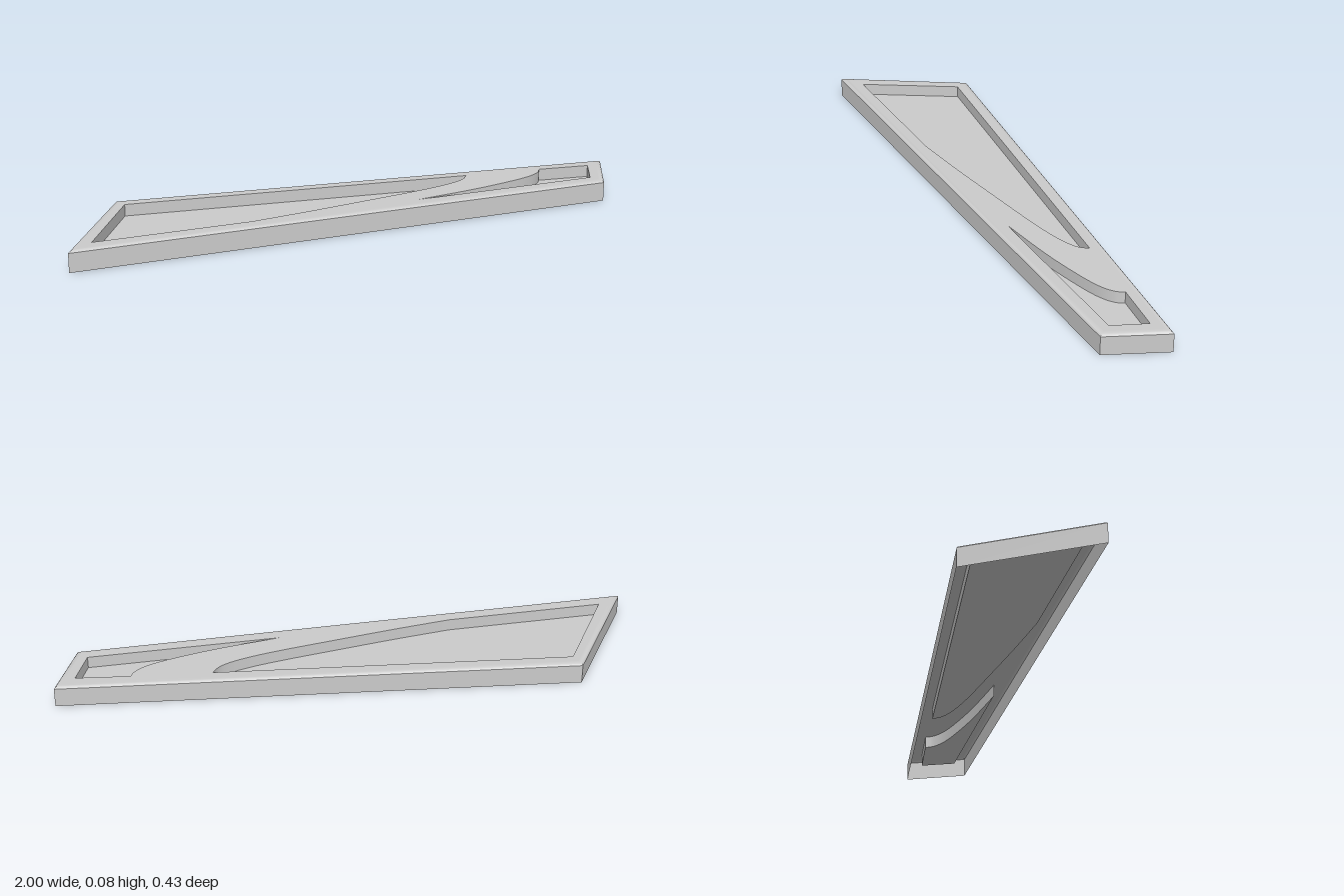
import * as THREE from 'three';
import { toCreasedNormals } from 'three/addons/utils/BufferGeometryUtils.js';

const TOP = 0.076, SHOULDER = 0.068, FLOOR = 0.034;
const material = new THREE.MeshStandardMaterial({ color: 0xcccccc, side: THREE.DoubleSide });
const v = (x, z) => new THREE.Vector2(x, -z); // plan point, z flipped for shapes

// Moves each side of a counterclockwise polygon inward by d
function inset(points, d) {
  const n = points.length;
  return points.map((p, i) => {
    const a = p.clone().sub(points[(i + n - 1) % n]).normalize();
    const b = points[(i + 1) % n].clone().sub(p).normalize();
    const na = new THREE.Vector2(-a.y, a.x), nb = new THREE.Vector2(-b.y, b.x);
    return p.clone().addScaledVector(na.clone().add(nb), d / (1 + na.dot(nb)));
  });
}

// Joins closed loops [points, height] into a band of quads
function band(loops) {
  const pos = [];
  for (let k = 0; k + 1 < loops.length; k++) {
    const [lo, y0] = loops[k], [hi, y1] = loops[k + 1];
    lo.forEach((p, i) => {
      const j = (i + 1) % lo.length, q = lo[j], r = hi[j], s = hi[i];
      pos.push(p.x, y0, -p.y, q.x, y0, -q.y, r.x, y1, -r.y);
      pos.push(p.x, y0, -p.y, r.x, y1, -r.y, s.x, y1, -s.y);
    });
  }
  const g = new THREE.BufferGeometry();
  g.setAttribute('position', new THREE.Float32BufferAttribute(pos, 3));
  return toCreasedNormals(g, 0.6);
}

// Flat horizontal sheet, with optional holes
function sheet(points, y, holes = []) {
  const shape = new THREE.Shape(points);
  shape.holes = holes.map(h => new THREE.Path(h));
  return new THREE.ShapeGeometry(shape).rotateX(-Math.PI / 2).translate(0, y, 0);
}

const sweep = (points, n) => new THREE.SplineCurve(points).getPoints(n);

export function createModel() {
  const group = new THREE.Group();
  const add = (name, geometry) => {
    const mesh = new THREE.Mesh(geometry, material);
    mesh.name = name;
    group.add(mesh);
  };

  const outline = [v(-1, 0.213), v(0.925, 0.045), v(1, -0.17), v(-0.78, -0.215)];

  // Large pocket: straight on three sides, curved toward the narrow end
  const largePocket = [
    v(-0.915, 0.155),
    ...sweep([v(-0.37, 0.108), v(-0.17, 0.067), v(0.05, 0.017), v(0.25, -0.03),
      v(0.37, -0.066), v(0.44, -0.1), v(0.47, -0.137)], 32),
    v(-0.755, -0.168),
  ];

  // Small pocket: long curved tail
  const smallPocket = [
    v(0.89, 0), v(0.93, -0.122),
    ...sweep([v(0.745, -0.13), v(0.728, -0.1), v(0.68, -0.067), v(0.59, -0.033),
      v(0.44, 0.01), v(0.23, 0.055)], 32),
  ];

  // Outer walls, open underneath
  add('outerWall', band([[outline, 0], [outline, SHOULDER]]));

  // Rounded shoulder and top face
  const rimEdge = inset(outline, 0.018);
  add('rimBevel', band([[outline, SHOULDER], [inset(outline, 0.004), 0.073],
    [inset(outline, 0.009), 0.0755], [rimEdge, TOP]]));
  add('topFace', sheet(rimEdge, TOP, [largePocket, smallPocket]));

  // Pocket walls and floors
  for (const [name, points] of [['largePocket', largePocket], ['smallPocket', smallPocket]]) {
    add(name + 'Wall', band([[points, TOP], [points, FLOOR]]));
    add(name + 'Floor', sheet(points, FLOOR));
  }
  return group;
}
